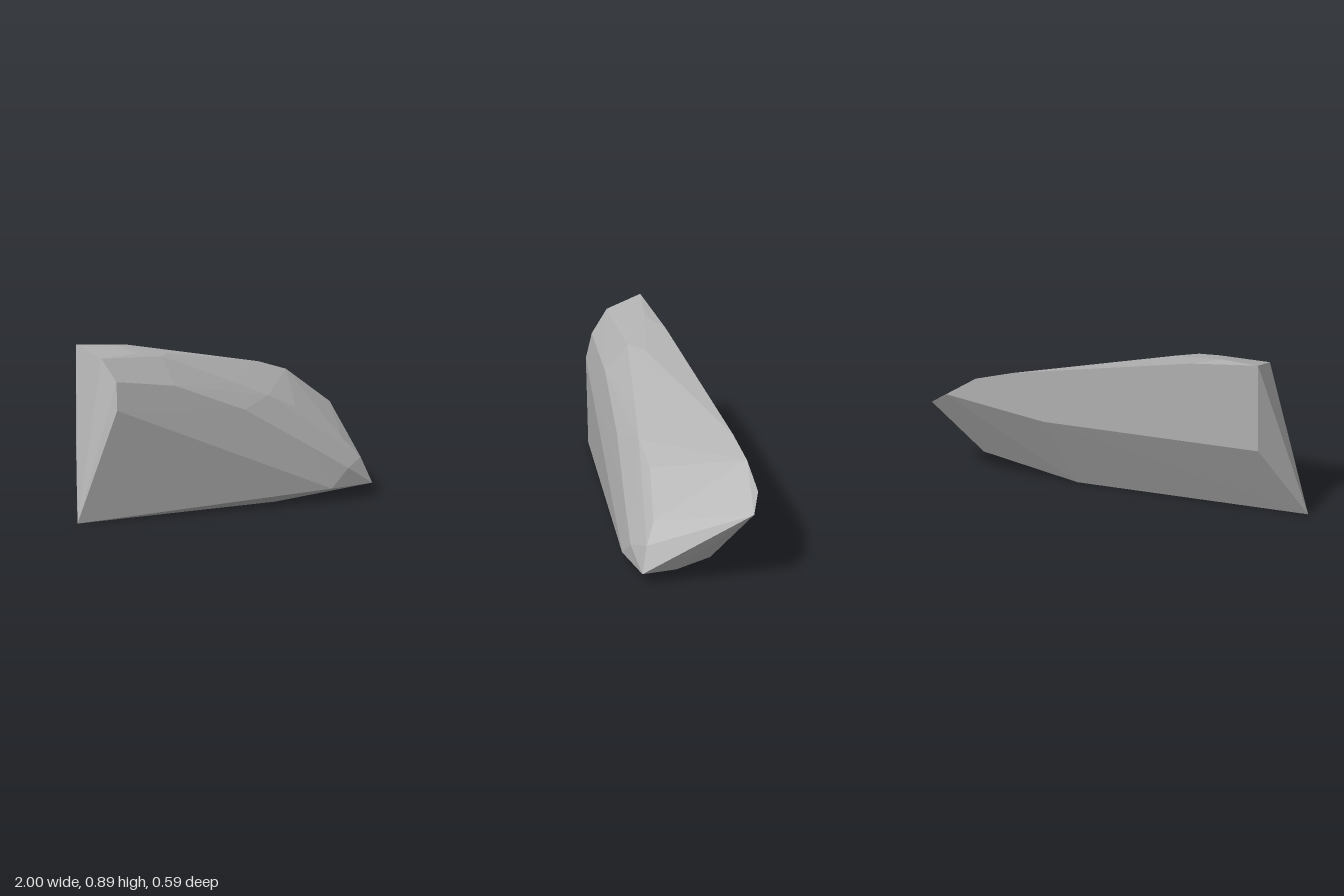
import * as THREE from 'three';
import { ConvexGeometry } from 'three/addons/geometries/ConvexGeometry.js';

// Corner points of the faceted boulder, grouped by region
const base = [
  [-1, 0, -0.085], [0.26, 0, -0.08], [0.26, 0, 0.1],
  [0.48, 0.065, 0.295], [0.775, 0.065, 0.295], [0.78, 0.065, 0.11], [0.77, 0.1, -0.08],
];
const back = [
  [-0.8, 0.89, -0.295], [-0.8, 0.41, -0.295], [0.37, 0.41, -0.295],
  [-0.43, 0.85, -0.295], [0.54, 0.66, -0.295], [0.74, 0.6, -0.295],
  [0.9, 0.49, -0.295], [1, 0.41, -0.235],
];
const leftEdge = [[-0.8, 0.835, -0.11], [-0.78, 0.72, -0.02], [-0.8, 0.575, 0.005]];
const ridge = [
  [-0.58, 0.87, -0.235], [-0.53, 0.835, -0.11], [-0.4, 0.81, -0.07], [-0.3, 0.81, -0.13],
  [-0.08, 0.71, -0.05], [0, 0.65, 0.04], [0.21, 0.56, 0.1], [0.4, 0.48, 0.11],
  [0.66, 0.3, 0.19], [0.73, 0.2, 0.255],
];
const frontBulge = [[-0.42, 0.67, 0.045], [0, 0.51, 0.14], [0.38, 0.29, 0.24], [0.6, 0.16, 0.295]];

export function createModel() {
  const group = new THREE.Group();
  group.name = 'rock';
  const stone = new THREE.MeshStandardMaterial({ color: 0xb0b0b0 });
  stone.name = 'grey stone';

  // Convex stone body with hard facets
  const points = [...base, ...back, ...leftEdge, ...ridge, ...frontBulge]
    .map((p) => new THREE.Vector3(...p));
  const boulder = new THREE.Mesh(new ConvexGeometry(points), stone);
  boulder.name = 'boulder';
  group.add(boulder);
  return group;
}
